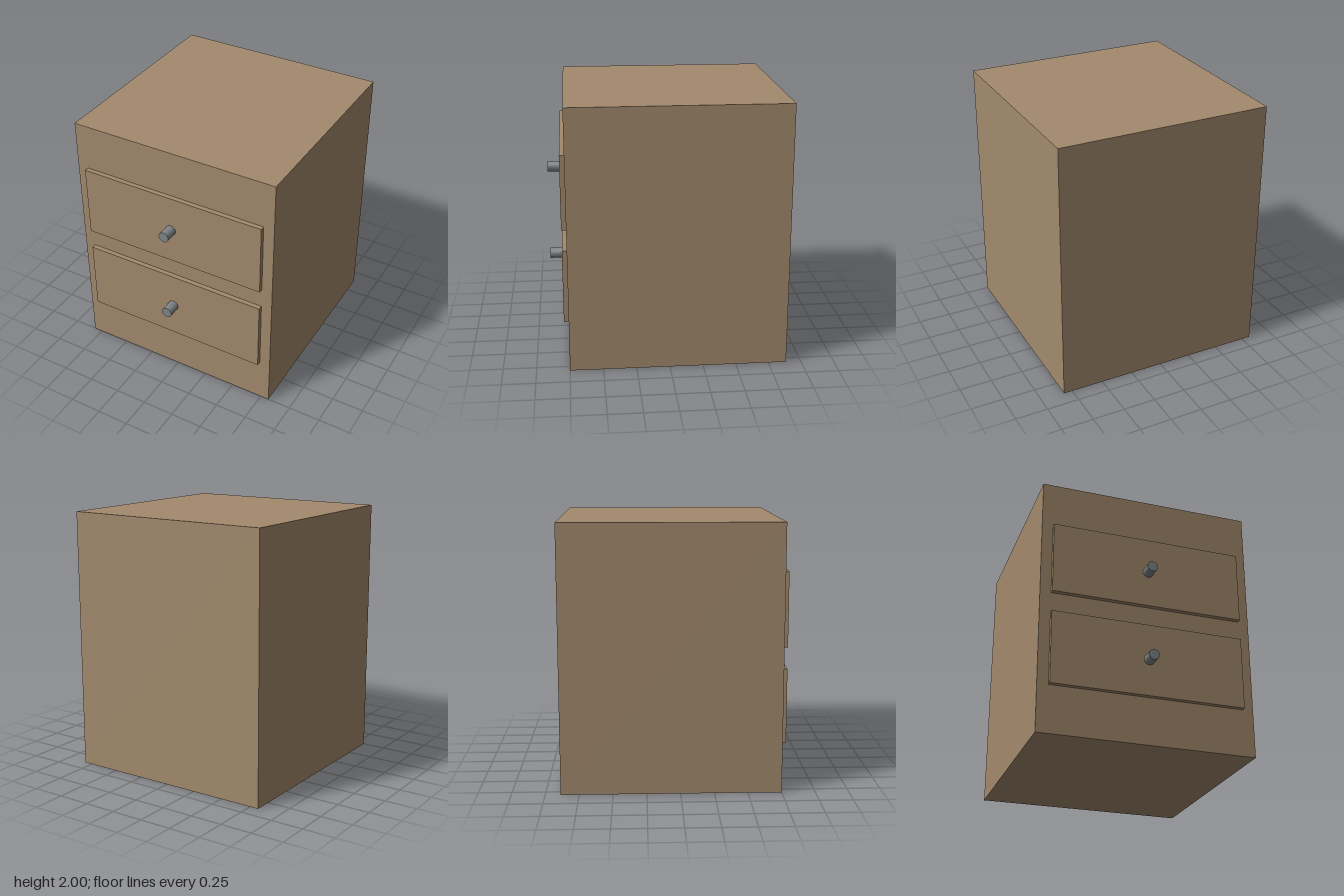
import * as THREE from 'three';

export function createModel() {
  const group = new THREE.Group();
  const wood = new THREE.MeshStandardMaterial({ color: 0xa38a6d });
  const metal = new THREE.MeshStandardMaterial({ color: 0x808588, flatShading: true });

  const add = (name, geometry, material, x, y, z) => {
    const mesh = new THREE.Mesh(geometry, material);
    mesh.name = name;
    mesh.position.set(x, y, z);
    group.add(mesh);
  };

  // Cabinet body
  const bodyFront = 0.75, bodyDepth = 1.636;
  add('cabinetBody', new THREE.BoxGeometry(1.636, 2, bodyDepth), wood, 0, 1, bodyFront - bodyDepth / 2);

  // Two raised drawer fronts, each with a round knob
  const drawerDepth = 0.036, knobLength = 0.1;
  const drawer = new THREE.BoxGeometry(1.47, 0.56, drawerDepth);
  const knob = new THREE.CylinderGeometry(0.041, 0.041, knobLength, 16).rotateX(Math.PI / 2);
  for (const [side, y] of [['lower', 0.64], ['upper', 1.36]]) {
    add(side + 'DrawerFront', drawer, wood, 0, y, bodyFront + drawerDepth / 2);
    add(side + 'Knob', knob, metal, 0, y, bodyFront + drawerDepth + knobLength / 2);
  }

  return group;
}
